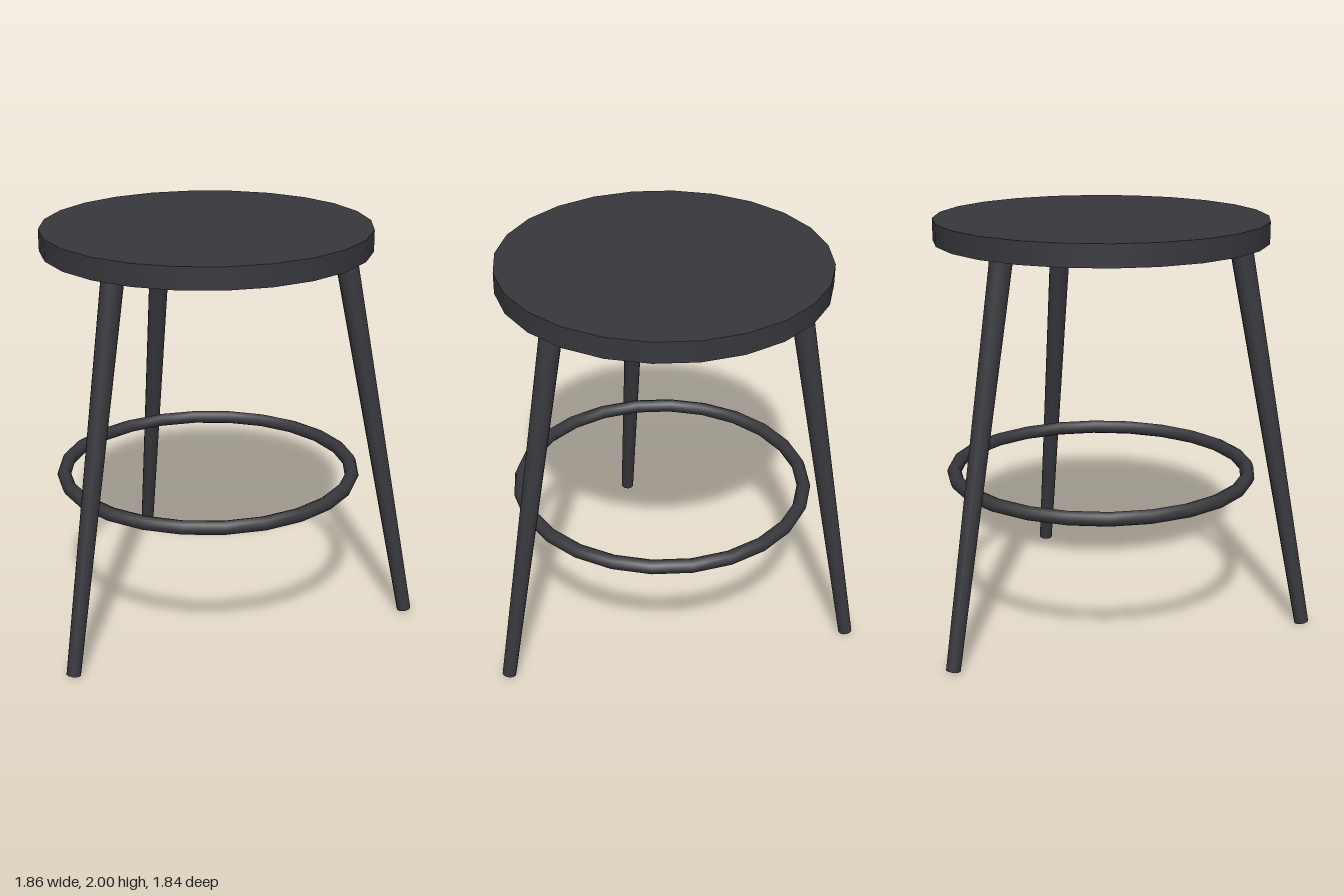
import * as THREE from 'three';

export function createModel() {
  const model = new THREE.Group();
  model.name = 'stool';
  const material = new THREE.MeshStandardMaterial({ color: 0x38373c });
  const add = (name, geometry) => {
    const mesh = new THREE.Mesh(geometry, material);
    mesh.name = name;
    model.add(mesh);
    return mesh;
  };

  // Round seat
  add('seat', new THREE.CylinderGeometry(0.803, 0.803, 0.105, 24)).position.y = 1.9475;

  // Three splayed legs, thinner towards the foot
  const up = new THREE.Vector3(0, 1, 0);
  for (let i = 0; i < 3; i++) {
    const angle = (i * Math.PI * 2) / 3;
    const foot = new THREE.Vector3(1.023, 0.007, 0).applyAxisAngle(up, angle);
    const top = new THREE.Vector3(0.663, 1.91, 0).applyAxisAngle(up, angle);
    const leg = add('leg' + (i + 1), new THREE.CylinderGeometry(0.055, 0.035, foot.distanceTo(top), 12));
    leg.position.copy(foot).add(top).multiplyScalar(0.5);
    leg.quaternion.setFromUnitVectors(up, top.sub(foot).normalize());
  }

  // Foot ring
  const ring = add('footRing', new THREE.TorusGeometry(0.731, 0.035, 8, 24).rotateX(Math.PI / 2));
  ring.position.y = 0.74;

  // The seat axis sits left of the middle so the whole is centred
  for (const part of model.children) part.position.x -= 0.128;
  return model;
}
